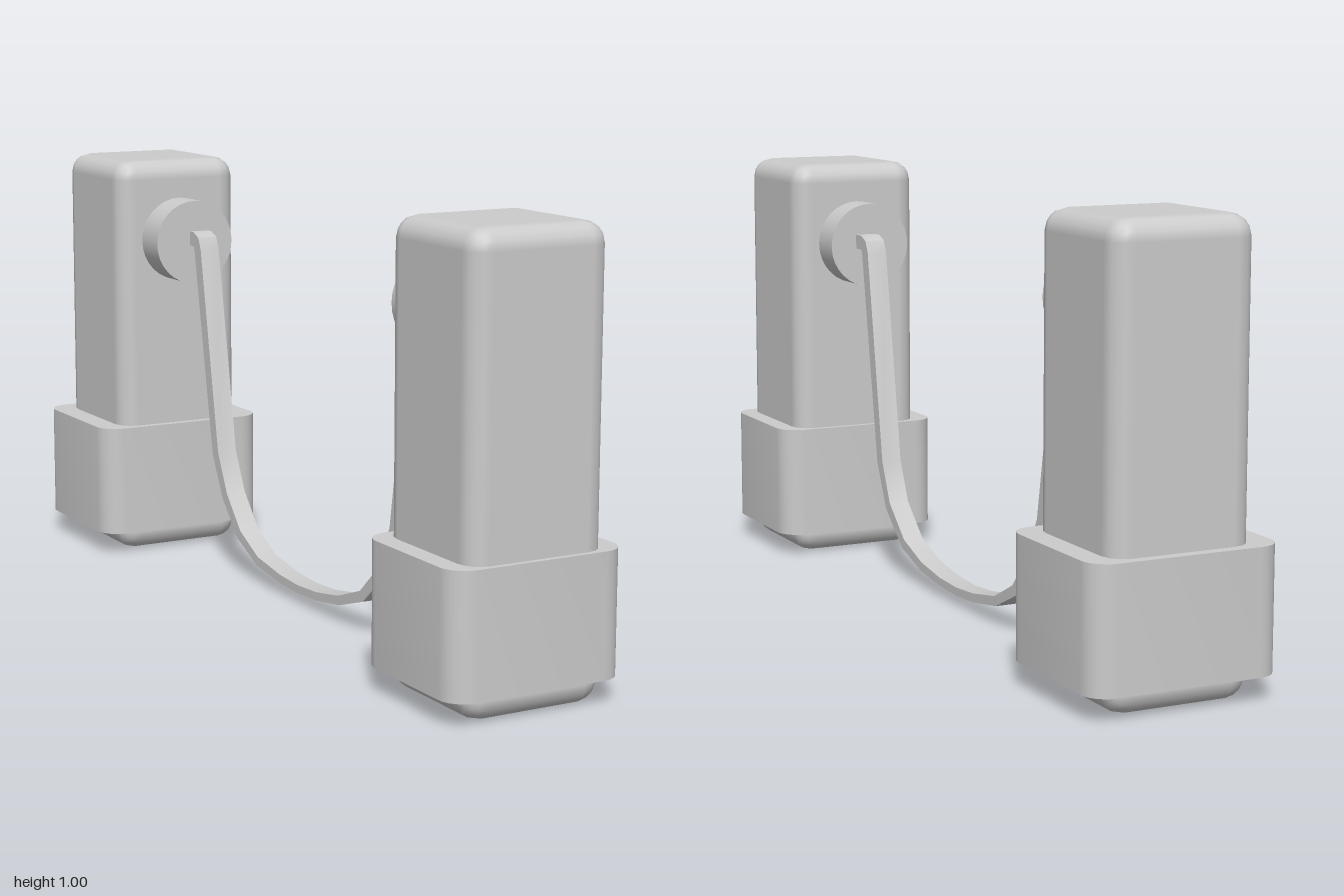
import * as THREE from 'three';
import { RoundedBoxGeometry } from 'three/addons/geometries/RoundedBoxGeometry.js';
import { toCreasedNormals } from 'three/addons/utils/BufferGeometryUtils.js';

const material = new THREE.MeshStandardMaterial({ color: 0xcccccc });

function part(name, geometry, x = 0, y = 0, z = 0) {
  const mesh = new THREE.Mesh(geometry, material);
  mesh.name = name;
  mesh.position.set(x, y, z);
  return mesh;
}

// Vertical prism with rounded corners, standing on y = 0
function roundedPrism(w, d, h, r) {
  const s = new THREE.Shape();
  const a = w / 2 - r, b = d / 2 - r;
  s.absarc(a, b, r, 0, Math.PI / 2);
  s.absarc(-a, b, r, Math.PI / 2, Math.PI);
  s.absarc(-a, -b, r, Math.PI, Math.PI * 1.5);
  s.absarc(a, -b, r, Math.PI * 1.5, Math.PI * 2);
  const g = new THREE.ExtrudeGeometry(s, { depth: h, bevelEnabled: false, curveSegments: 3 });
  g.rotateX(-Math.PI / 2);
  return toCreasedNormals(g, 0.7);
}

// One post with its base band and the round socket facing the other post
function makePost({ name, z, bandW, bandD, bandZ, socketEnd }) {
  const group = new THREE.Group();
  group.name = name;
  group.add(part('post', new RoundedBoxGeometry(0.33, 1, 0.33, 2, 0.048), 0, 0.5, z));
  group.add(part('baseBand', roundedPrism(bandW, bandD, 0.273, 0.055), -0.001, 0.054, bandZ));
  const start = z - Math.sign(z) * 0.14;
  const socket = new THREE.CylinderGeometry(0.104, 0.104, Math.abs(start - socketEnd), 32);
  socket.rotateX(Math.PI / 2);
  group.add(part('socket', socket, 0, 0.8, (start + socketEnd) / 2));
  return group;
}

// Hanging strap: [z, y, thickness] along its centre line
function makeStrap() {
  const path = [
    [0.60, 0.81, 0.035], [0.545, 0.81, 0.035], [0.53, 0.804, 0.035], [0.521, 0.785, 0.035],
    [0.437, 0.27, 0.031], [0.39, 0.167, 0.029], [0.30, 0.088, 0.026], [0.195, 0.053, 0.022],
    [0.09, 0.038, 0.02], [0, 0.034, 0.02], [-0.09, 0.039, 0.021], [-0.205, 0.057, 0.023],
    [-0.30, 0.103, 0.026], [-0.375, 0.185, 0.029], [-0.425, 0.285, 0.031],
    [-0.516, 0.785, 0.035], [-0.524, 0.804, 0.035], [-0.54, 0.81, 0.035], [-0.60, 0.81, 0.035],
  ];
  const upper = [], lower = [];
  path.forEach(([z, y, t], i) => {
    const p = path[Math.max(i - 1, 0)], n = path[Math.min(i + 1, path.length - 1)];
    const dir = new THREE.Vector2(n[0] - p[0], n[1] - p[1]).normalize();
    upper.push(new THREE.Vector2(z - dir.y * t / 2, y + dir.x * t / 2));
    lower.push(new THREE.Vector2(z + dir.y * t / 2, y - dir.x * t / 2));
  });
  const shape = new THREE.Shape([...upper, ...lower.reverse()]);
  const g = new THREE.ExtrudeGeometry(shape, { depth: 0.05, bevelEnabled: false });
  g.rotateY(-Math.PI / 2);
  return part('strap', toCreasedNormals(g, 0.7), 0.037, 0, 0);
}

export function createModel() {
  const model = new THREE.Group();
  model.name = 'barrier';
  model.add(
    makePost({ name: 'frontPost', z: 0.822, bandW: 0.421, bandD: 0.357, bandZ: 0.8215, socketEnd: 0.575 }),
    makePost({ name: 'backPost', z: -0.81, bandW: 0.442, bandD: 0.375, bandZ: -0.8125, socketEnd: -0.558 }),
    makeStrap(),
  );
  return model;
}
